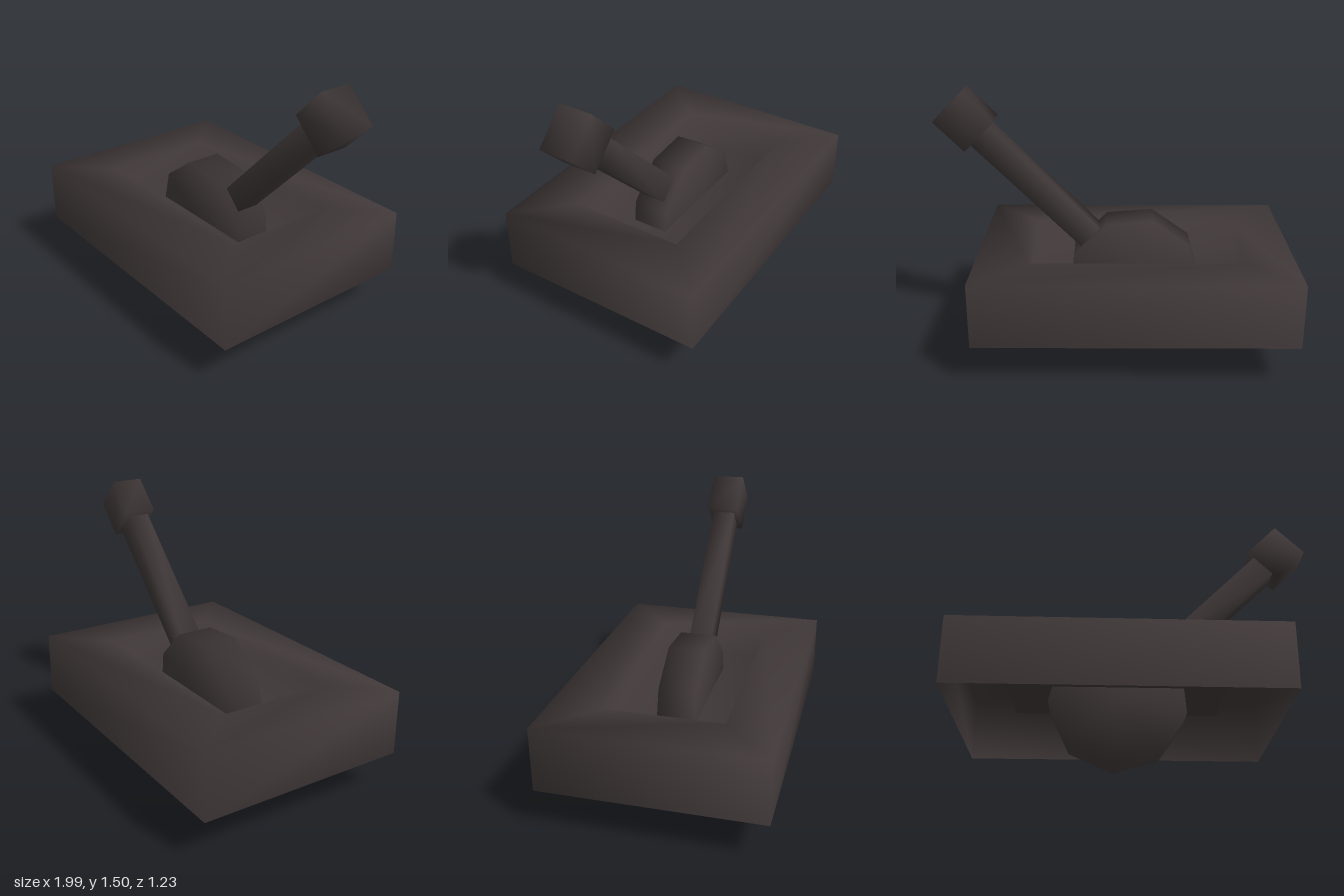
import * as THREE from 'three';
import { mergeVertices } from 'three/addons/utils/BufferGeometryUtils.js';

// Weld corners so that shading blends softly across the edges
function soften(geometry) {
  geometry.deleteAttribute('normal');
  geometry.deleteAttribute('uv');
  const welded = mergeVertices(geometry);
  welded.computeVertexNormals();
  return welded;
}

// Hollow housing: outer walls, top rim, recess walls and recess floor
function housingGeometry() {
  const outer = [-1, 0.77, 0.615];
  const inner = [-0.715, 0.48, 0.33];
  const rings = [[outer, 0.235], [outer, 0.6], [inner, 0.6], [inner, 0.43]];
  const positions = [];
  const index = [];
  for (const [[x0, x1, z], y] of rings) {
    positions.push(x0, y, z, x1, y, z, x1, y, -z, x0, y, -z);
  }
  for (let r = 0; r < rings.length - 1; r++) {
    for (let i = 0; i < 4; i++) {
      const a = r * 4 + i;
      const b = r * 4 + (i + 1) % 4;
      index.push(a, b, b + 4, a, b + 4, a + 4);
    }
  }
  index.push(12, 13, 14, 12, 14, 15);
  const geometry = new THREE.BufferGeometry();
  geometry.setAttribute('position', new THREE.Float32BufferAttribute(positions, 3));
  geometry.setIndex(index);
  geometry.computeVertexNormals();
  return geometry;
}

export function createModel() {
  const group = new THREE.Group();
  group.name = 'leverSwitch';
  const darkMetal = new THREE.MeshStandardMaterial({ color: 0x403838, side: THREE.DoubleSide });
  darkMetal.name = 'darkMetal';

  function add(name, geometry, x = 0, y = 0, angle = 0, parent = group) {
    const mesh = new THREE.Mesh(geometry, darkMetal);
    mesh.name = name;
    mesh.position.set(x, y, 0);
    mesh.rotation.z = angle;
    parent.add(mesh);
    return mesh;
  }

  add('housing', housingGeometry());

  // Nine-sided pivot wheel standing through the recess floor
  const wheel = new THREE.CylinderGeometry(0.387, 0.387, 0.21, 9).rotateX(Math.PI / 2);
  add('pivotWheel', soften(wheel), -0.115, 0.387, THREE.MathUtils.degToRad(-4.4));

  // Handle leaning at 45 degrees, with its foot on the wheel
  const handle = new THREE.Group();
  handle.name = 'handle';
  handle.position.set(0.133, 0.637, 0);
  handle.rotation.z = -Math.PI / 4;
  group.add(handle);
  const shaftLength = 0.865;
  const gripLength = 0.235;
  add('shaft', soften(new THREE.BoxGeometry(0.15, shaftLength, 0.13)), 0, shaftLength / 2, 0, handle);
  add('grip', soften(new THREE.BoxGeometry(0.235, gripLength, 0.186)), 0, shaftLength + gripLength / 2, 0, handle);

  return group;
}
